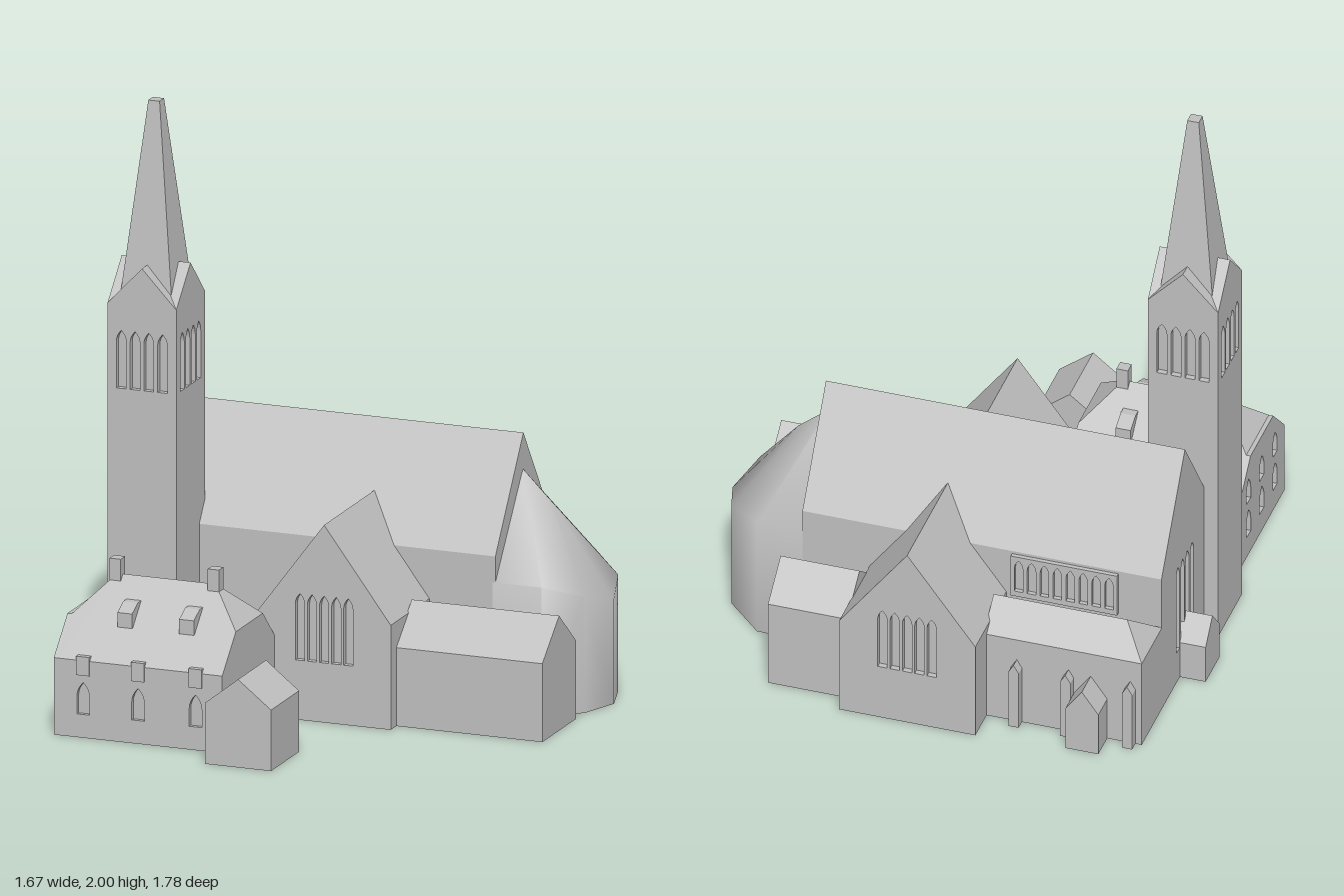
import * as THREE from 'three';
import { toCreasedNormals } from 'three/addons/utils/BufferGeometryUtils.js';
import { ConvexGeometry } from 'three/addons/geometries/ConvexGeometry.js';

const T = 0.02; // depth of the window recesses

export function createModel() {
  const model = new THREE.Group();
  const stone = new THREE.MeshStandardMaterial({ color: 0xc0c0c0 });
  stone.name = 'pale grey stone';

  const add = (name, geometry) => {
    const mesh = new THREE.Mesh(geometry, stone);
    mesh.name = name;
    model.add(mesh);
    return mesh;
  };
  const box = (name, x0, x1, y0, y1, z0, z1) =>
    add(name, new THREE.BoxGeometry(x1 - x0, y1 - y0, z1 - z0))
      .position.set((x0 + x1) / 2, (y0 + y1) / 2, (z0 + z1) / 2);
  const hull = (name, points) => add(name, new ConvexGeometry(points.map(p => new THREE.Vector3(...p))));

  const polygon = pts => new THREE.Shape(pts.map(p => new THREE.Vector2(...p)));
  const gableShape = (w, eave, peak, y0 = 0) =>
    polygon([[-w / 2, y0], [w / 2, y0], [w / 2, eave], [0, peak], [-w / 2, eave]]);

  // Pointed window opening
  const lancet = (x, w, y0, y1) => {
    const h = w / 2, s = y1 - w * 1.1;
    const p = new THREE.Path();
    p.moveTo(x - h, y0);
    p.lineTo(x - h, s);
    p.quadraticCurveTo(x - h, s + w * 0.6, x, y1);
    p.quadraticCurveTo(x + h, s + w * 0.6, x + h, s);
    p.lineTo(x + h, y0);
    p.closePath();
    return p;
  };
  const lancets = (xs, w, y0, y1) => xs.map(x => lancet(x, w, y0, y1));
  const row = (count, step) => Array.from({ length: count }, (_, i) => (i - (count - 1) / 2) * step);

  // Shape extruded about its centre, along z or along x
  const slab = (name, shape, depth, x, z, alongX = false, holes = []) => {
    shape.holes.push(...holes);
    const g = new THREE.ExtrudeGeometry(shape, { depth, bevelEnabled: false, curveSegments: 4 });
    g.translate(0, 0, -depth / 2);
    if (alongX) g.rotateY(Math.PI / 2);
    add(name, g).position.set(x, 0, z);
  };
  // Gabled block given by its footprint
  const gabled = (name, x0, x1, z0, z1, eave, peak, alongX) => {
    const dx = x1 - x0, dz = z1 - z0;
    slab(name, gableShape(alongX ? dz : dx, eave, peak), alongX ? dx : dz,
      (x0 + x1) / 2, (z0 + z1) / 2, alongX);
  };

  // Nave with windowed west gable
  gabled('nave', -0.75 + T, 0.5, -0.56, -0.06, 0.53, 0.89, true);
  slab('naveWestWall', gableShape(0.5, 0.53, 0.89), T, -0.75 + T / 2, -0.31, true,
    lancets(row(4, 0.05), 0.035, 0.12, 0.46));
  slab('clerestoryWindows', polygon([[-0.185, 0.36], [0.185, 0.36], [0.185, 0.52], [-0.185, 0.52]]),
    0.016, -0.415, -0.567, false, lancets(row(8, 0.045), 0.03, 0.38, 0.505));

  // Transept with windows at both ends
  gabled('transept', -0.21, 0.265, -0.89 + T, 0.285 - T, 0.36, 0.68, false);
  for (const z of [-0.89 + T / 2, 0.285 - T / 2])
    slab('transeptEndWall', gableShape(0.475, 0.36, 0.68), T, 0.0275, z, false,
      lancets(row(5, 0.043), 0.033, 0.205, 0.435));

  // Rounded choir end
  const ring = [[0.49, -0.06, 0.44], [0.665, -0.06, 0.44], [0.785, -0.14, 0.4], [0.835, -0.28, 0.36],
    [0.79, -0.43, 0.4], [0.66, -0.555, 0.44], [0.49, -0.56, 0.44]];
  const apse = hull('apse', [
    ...ring.flatMap(([x, z, y]) => [[x, 0, z], [x, y, z]]),
    [0.49, 0.77, -0.308], [0.5, 0.765, -0.308], [0.6, 0.675, -0.295]]);
  apse.geometry = toCreasedNormals(apse.geometry, 0.95);

  // Low blocks beside the choir and the west porch
  gabled('southVestry', 0.26, 0.785, -0.065, 0.235, 0.27, 0.395, true);
  gabled('northVestry', 0.26, 0.535, -0.82, -0.55, 0.32, 0.425, true);
  gabled('westPorch', -0.84, -0.74, -0.365, -0.22, 0.14, 0.22, true);

  // North aisle with hipped west end
  hull('northAisle', [
    ...[-0.75, -0.2].flatMap(x => [-0.77, -0.555].flatMap(z => [[x, 0, z], [x, 0.33, z]])),
    [-0.665, 0.42, -0.665], [-0.2, 0.42, -0.665]]);
  for (const x of [-0.71, -0.495, -0.315])
    gabled('aisleButtress', x - 0.018, x + 0.018, -0.805, -0.76, 0.22, 0.25, false);
  gabled('northPorch', -0.63, -0.515, -0.865, -0.76, 0.16, 0.24, false);

  // Tower: core, four gabled walls with belfry openings, cross roof, spire
  const tx = -0.6775, tz = 0.0175, w = 0.245, d = 0.255;
  box('towerCore', tx - w / 2 + T, tx + w / 2 - T, 0, 1.32, tz - d / 2 + T, tz + d / 2 - T);
  const belfry = () => lancets(row(4, 0.049), 0.035, 1.03, 1.23);
  for (const s of [-1, 1]) {
    slab('towerWall', gableShape(w, 1.32, 1.45), T, tx, tz + s * (d - T) / 2, false, belfry());
    slab('towerWall', gableShape(d, 1.32, 1.45), T, tx + s * (w - T) / 2, tz, true, belfry());
  }
  slab('towerRoof', gableShape(w, 1.32, 1.45, 1.31), d - 2 * T, tx, tz);
  slab('towerRoof', gableShape(d, 1.32, 1.45, 1.31), w - 2 * T, tx, tz, true);
  const square = (h, y) => [[-h, -h], [h, -h], [h, h], [-h, h]].map(([x, z]) => [tx + x, y, tz + z]);
  hull('spire', [...square(0.091, 1.345), ...square(0.02, 2)]);

  // Parsonage: body, half-hipped roof, windowed walls
  box('houseBody', -0.735, -0.15, 0, 0.27, 0.265, 0.735);
  hull('houseRoof', [
    ...[-0.735, -0.15].flatMap(x => [[x, 0.265, 0.265], [x, 0.265, 0.75],
      [x, 0.385, 0.387], [x, 0.385, 0.628]]),
    [-0.62, 0.505, 0.508], [-0.27, 0.505, 0.508]]);
  const bays = [-0.645, -0.45, -0.245];
  slab('houseFrontWall', polygon([[-0.3, 0], [0.3, 0], [0.3, 0.265], [-0.3, 0.265]]), T, -0.45, 0.74, false,
    lancets(bays.map(x => x + 0.45), 0.045, 0.08, 0.19));
  slab('houseWestWall', polygon([[-0.2425, 0], [0.2425, 0], [0.2425, 0.265], [0.12, 0.385],
    [-0.12, 0.385], [-0.2425, 0.265]]), T, -0.74, 0.5075, true,
    [...lancets(row(3, 0.14), 0.045, 0.08, 0.18), ...lancets(row(3, 0.14), 0.045, 0.215, 0.305)]);
  for (const x of bays) box('eavesWindow', x - 0.023, x + 0.023, 0.215, 0.28, 0.72, 0.755);

  // Roof dormers on both slopes, with sloping tops
  for (const x of [-0.535, -0.315]) for (const s of [-1, 1]) {
    const z = k => 0.508 + s * k;
    hull('dormer', [-0.026, 0.026].flatMap(o => [[x + o, 0.365, z(0.147)], [x + o, 0.415, z(0.147)],
      [x + o, 0.44, z(0.095)], [x + o, 0.44, z(0.06)], [x + o, 0.365, z(0.06)]]));
  }
  for (const x of [-0.62, -0.27]) box('chimney', x - 0.02, x + 0.02, 0.4, 0.56, 0.488, 0.528);

  // Small outbuilding at the corner of the house
  gabled('outbuilding', -0.155, 0.08, 0.64, 0.89, 0.21, 0.303, false);

  return model;
}
